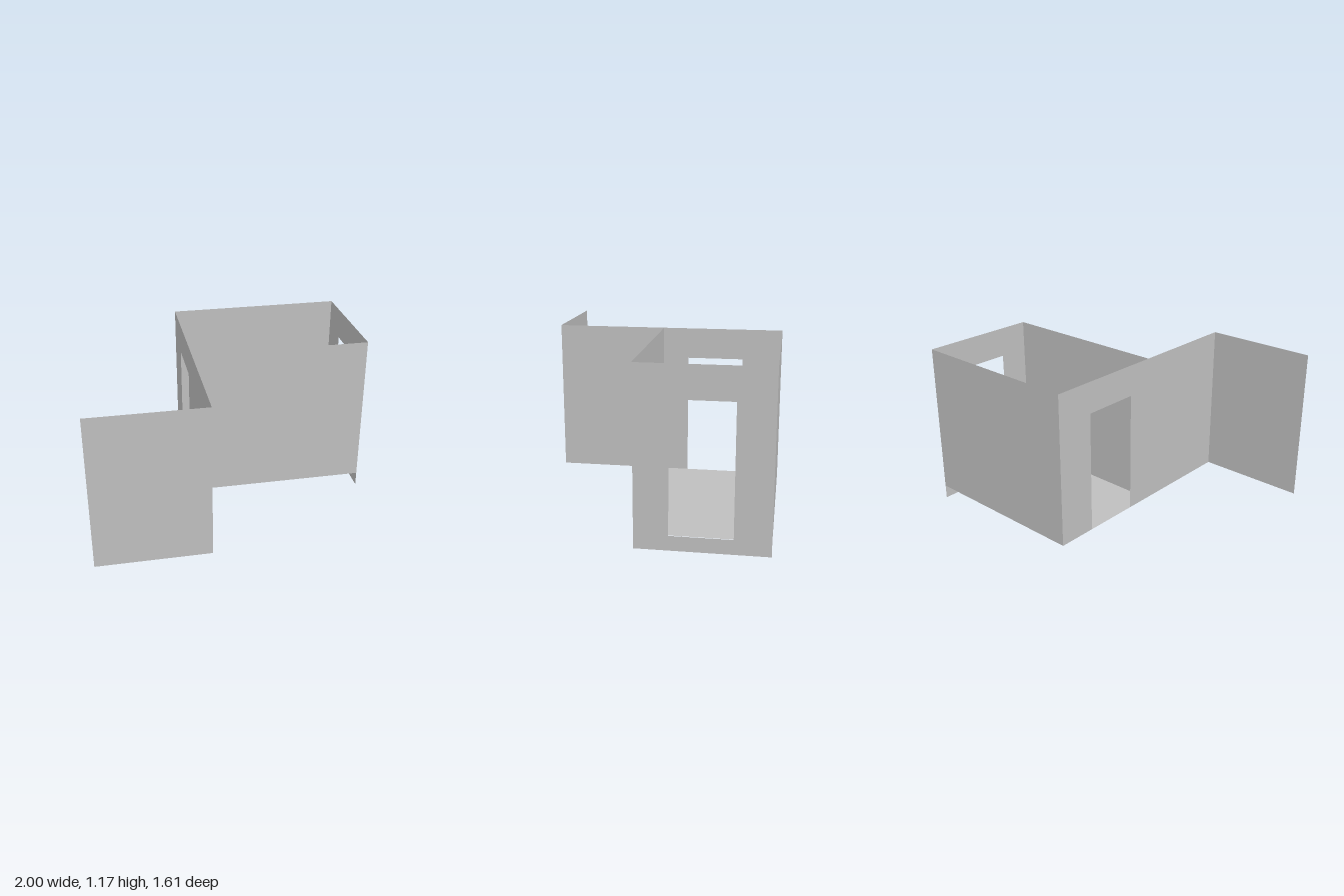
import * as THREE from 'three';

const TOP = 1.165, FLOOR = 0.1;          // wall top and floor level
const X0 = -0.235, X1 = 1;               // room sides
const Z0 = -0.805, Z1 = 0.04, ZEND = 0.805; // room back, room front, far end of long wall

const rect = (path, a0, b0, a1, b1) =>
  path.moveTo(a0, b0).lineTo(a1, b0).lineTo(a1, b1).lineTo(a0, b1).closePath();

export function createModel() {
  const model = new THREE.Group();
  model.name = 'roomWithScreenWall';
  const grey = new THREE.MeshStandardMaterial({ color: 0xbfbfbf, side: THREE.DoubleSide });
  grey.name = 'plain grey';

  const add = (name, geometry) => {
    const mesh = new THREE.Mesh(geometry, grey);
    mesh.name = name;
    model.add(mesh);
  };

  // Sheet wall running along x at a given z
  const wallAlongX = (name, x0, x1, z) => {
    const g = new THREE.PlaneGeometry(x1 - x0, TOP - FLOOR);
    add(name, g.translate((x0 + x1) / 2, (TOP + FLOOR) / 2, z));
  };

  // Sheet wall running along z at a given x, from an outline drawn in (z, y)
  const wallAlongZ = (name, shape, x) =>
    add(name, new THREE.ShapeGeometry(shape).rotateY(-Math.PI / 2).translate(x, 0, 0));

  wallAlongX('backWall', X0, X1, Z0);
  wallAlongX('frontWall', X0, X1, Z1);
  wallAlongX('endWall', -1, X0, ZEND);

  // Long wall with a doorway open down to the floor
  const longWall = new THREE.Shape();
  [[Z0, FLOOR], [-0.53, FLOOR], [-0.53, 0.95], [-0.137, 0.95], [-0.137, FLOOR],
    [ZEND, FLOOR], [ZEND, TOP], [Z0, TOP]]
    .forEach(([z, y], i) => (i ? longWall.lineTo(z, y) : longWall.moveTo(z, y)));
  longWall.closePath();
  wallAlongZ('longWall', longWall, X0);

  // Side wall reaching below the floor, with a cut opening
  const sideWall = rect(new THREE.Shape(), Z0, 0, Z1, TOP);
  sideWall.holes.push(rect(new THREE.Path(), -0.575, 0.097, -0.178, 0.952));
  wallAlongZ('sideWall', sideWall, X1);

  // Floor sheet
  add('floor', new THREE.PlaneGeometry(X1 - X0, Z1 - Z0)
    .rotateX(-Math.PI / 2)
    .translate((X0 + X1) / 2, FLOOR, (Z0 + Z1) / 2));

  return model;
}
